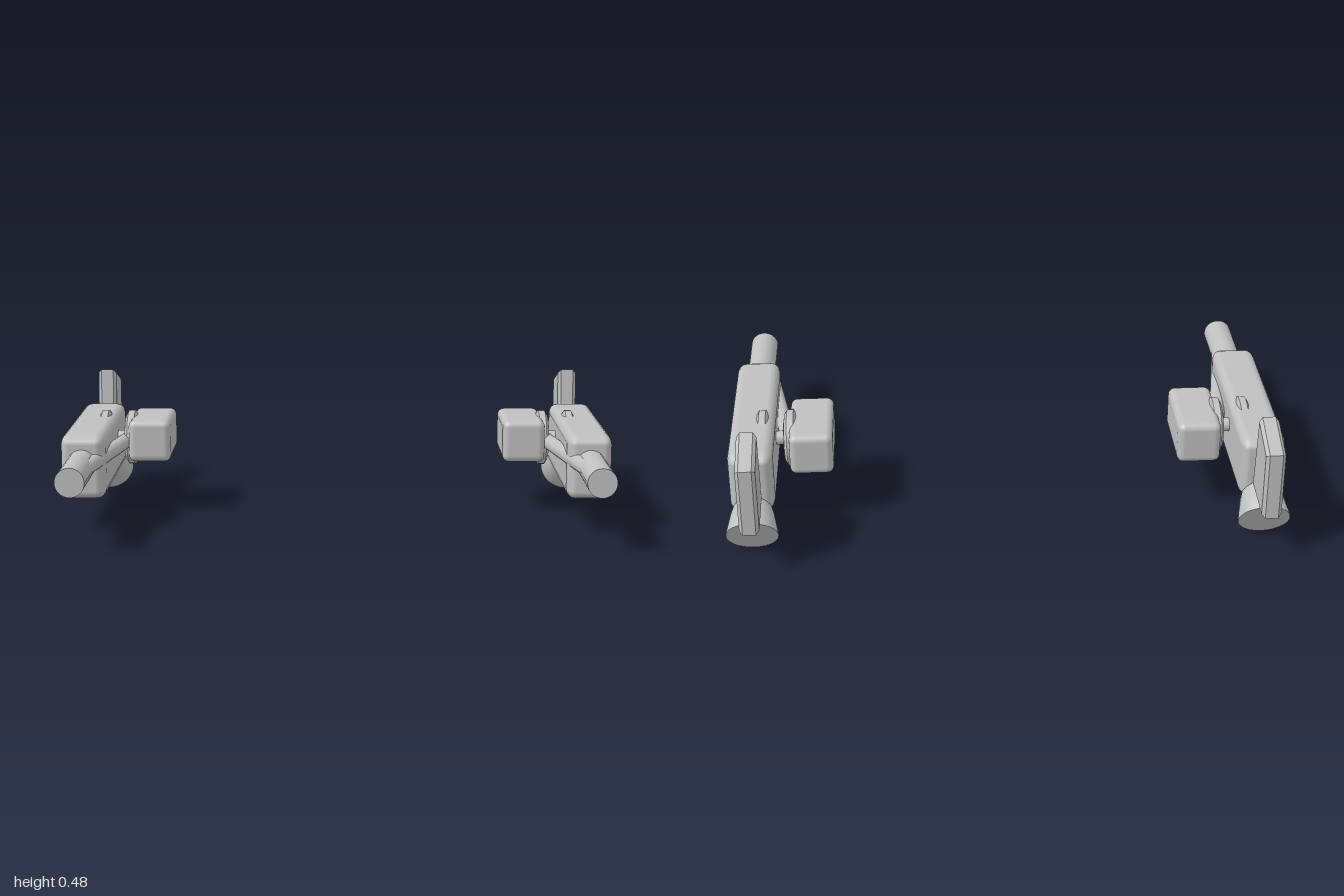
import * as THREE from 'three';
import { toCreasedNormals } from 'three/addons/utils/BufferGeometryUtils.js';
import { RoundedBoxGeometry } from 'three/addons/geometries/RoundedBoxGeometry.js';

const grey = new THREE.MeshStandardMaterial({ color: 0xc0c0c0 });
grey.name = 'plain grey';

const lathe = (points, sides) => toCreasedNormals(
  new THREE.LatheGeometry(points.map(([r, y]) => new THREE.Vector2(r, y)), sides), 0.6);

function addPart(group, name, geometry, x = 0, y = 0, z = 0) {
  const mesh = new THREE.Mesh(geometry, grey);
  mesh.name = name;
  mesh.position.set(x, y, z);
  group.add(mesh);
  return mesh;
}

// Upright grip blade, drawn in (z, y) and extruded across x
function gripGeometry() {
  const outline = [[-0.425, 0.187], [-0.625, 0.165], [-0.625, 0.42], [-0.455, 0.477]];
  const shape = new THREE.Shape(outline.map(([z, y]) => new THREE.Vector2(z, y)));
  const geometry = new THREE.ExtrudeGeometry(shape, {
    depth: 0.046, bevelEnabled: true, bevelSegments: 1,
    bevelSize: 0.012, bevelThickness: 0.012, bevelOffset: -0.012,
  });
  return geometry.translate(0, 0, -0.023).rotateY(-Math.PI / 2);
}

// One pod; side is +1 for the left and -1 for the right
function createPod(side) {
  const pod = new THREE.Group();
  pod.name = side > 0 ? 'leftPod' : 'rightPod';
  const axis = side * 0.91;

  // Main housing, with corners stretched lengthwise
  const body = new RoundedBoxGeometry(0.16, 0.235, 0.41, 2, 0.033);
  body.scale(1, 1, 1.8);
  addPart(pod, 'body', body, axis, 0.2375, -0.055);

  // Barrel
  const barrel = new THREE.CylinderGeometry(0.052, 0.052, 0.4, 32).rotateX(Math.PI / 2);
  addPart(pod, 'barrel', barrel, axis, 0.255, 0.427);

  // Rear grip and flared stock
  addPart(pod, 'grip', gripGeometry(), side * 0.908);
  const stock = lathe([[0, 0], [0.093, 0], [0.092, 0.012], [0.078, 0.08],
    [0.062, 0.13], [0.056, 0.17], [0.056, 0.22], [0, 0.22]], 32);
  stock.rotateX(1.036);
  addPart(pod, 'stock', stock, axis, 0.081, -0.498);

  // Side box
  addPart(pod, 'sideBox', new RoundedBoxGeometry(0.157, 0.157, 0.305, 3, 0.025),
    side * 0.699, 0.277, -0.142);

  // Rounded discs: one beside the box, one set into the body
  const disc = lathe([[0, -0.026], [0.06, -0.026], [0.085, -0.022], [0.102, -0.012],
    [0.102, 0.012], [0.085, 0.022], [0.06, 0.026], [0, 0.026]], 32);
  disc.rotateZ(Math.PI / 2);
  for (const x of [0.776, 0.876]) addPart(pod, 'disc', disc, side * x, 0.268, -0.137);

  // Axle joining the discs
  const axle = new THREE.CylinderGeometry(0.025, 0.025, 0.12, 20).rotateZ(Math.PI / 2);
  addPart(pod, 'axle', axle, side * 0.82, 0.268, -0.137);

  // Slanted strut from the disc into the barrel
  const from = new THREE.Vector3(side * 0.785, 0.265, -0.14);
  const to = new THREE.Vector3(side * 0.897, 0.262, 0.5);
  const direction = to.clone().sub(from);
  const strut = addPart(pod, 'strut',
    new THREE.CylinderGeometry(0.028, 0.028, direction.length(), 24));
  strut.position.copy(from).add(to).multiplyScalar(0.5);
  strut.quaternion.setFromUnitVectors(new THREE.Vector3(0, 1, 0), direction.normalize());
  return pod;
}

export function createModel() {
  const model = new THREE.Group();
  model.name = 'pairOfPods';
  for (const side of [1, -1]) model.add(createPod(side));
  return model;
}
